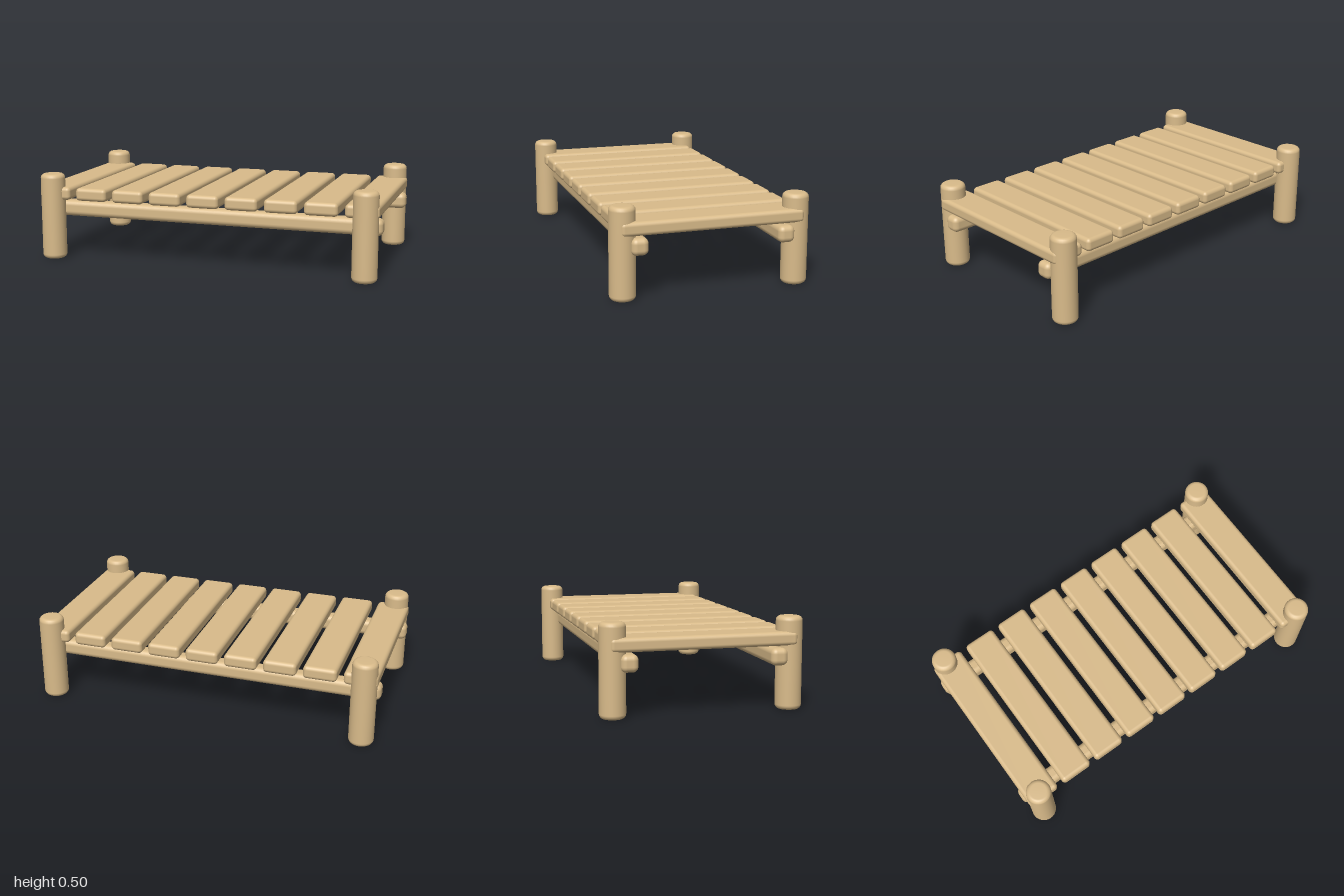
import * as THREE from 'three';
import { RoundedBoxGeometry } from 'three/addons/geometries/RoundedBoxGeometry.js';

export function createModel() {
  const group = new THREE.Group();
  const wood = new THREE.MeshStandardMaterial({ color: 0xd9bb8a });

  const add = (name, geometry, x, y, z) => {
    const mesh = new THREE.Mesh(geometry, wood);
    mesh.name = name;
    mesh.position.set(x, y, z);
    group.add(mesh);
  };

  // Round corner posts with softened ends
  const radius = 0.07, height = 0.497, bevel = 0.025;
  const profile = [new THREE.Vector2(0, 0)];
  for (const [cy, start] of [[bevel, -Math.PI / 2], [height - bevel, 0]]) {
    for (let i = 0; i <= 4; i++) {
      const a = start + (i / 4) * Math.PI / 2;
      profile.push(new THREE.Vector2(radius - bevel + bevel * Math.cos(a), cy + bevel * Math.sin(a)));
    }
  }
  profile.push(new THREE.Vector2(0, height));
  const postGeometry = new THREE.LatheGeometry(profile, 32);
  for (const [side, sx] of [['Left', 1], ['Right', -1]]) {
    for (const [end, sz] of [['front', 1], ['back', -1]]) {
      add(`${end}${side}Post`, postGeometry, sx * 0.915, 0, sz * 0.476);
    }
  }

  // Long rails under the slats
  const railGeometry = new RoundedBoxGeometry(2, 0.092, 0.092, 4, 0.03);
  add('frontRail', railGeometry, 0, 0.289, 0.4);
  add('backRail', railGeometry, 0, 0.289, -0.4);

  // Evenly spaced slats
  const slatGeometry = new RoundedBoxGeometry(0.187, 0.074, 1, 4, 0.022);
  for (let i = 0; i < 9; i++) {
    add(`slat${i + 1}`, slatGeometry, (i - 4) * 0.2243, 0.383, 0);
  }

  return group;
}
